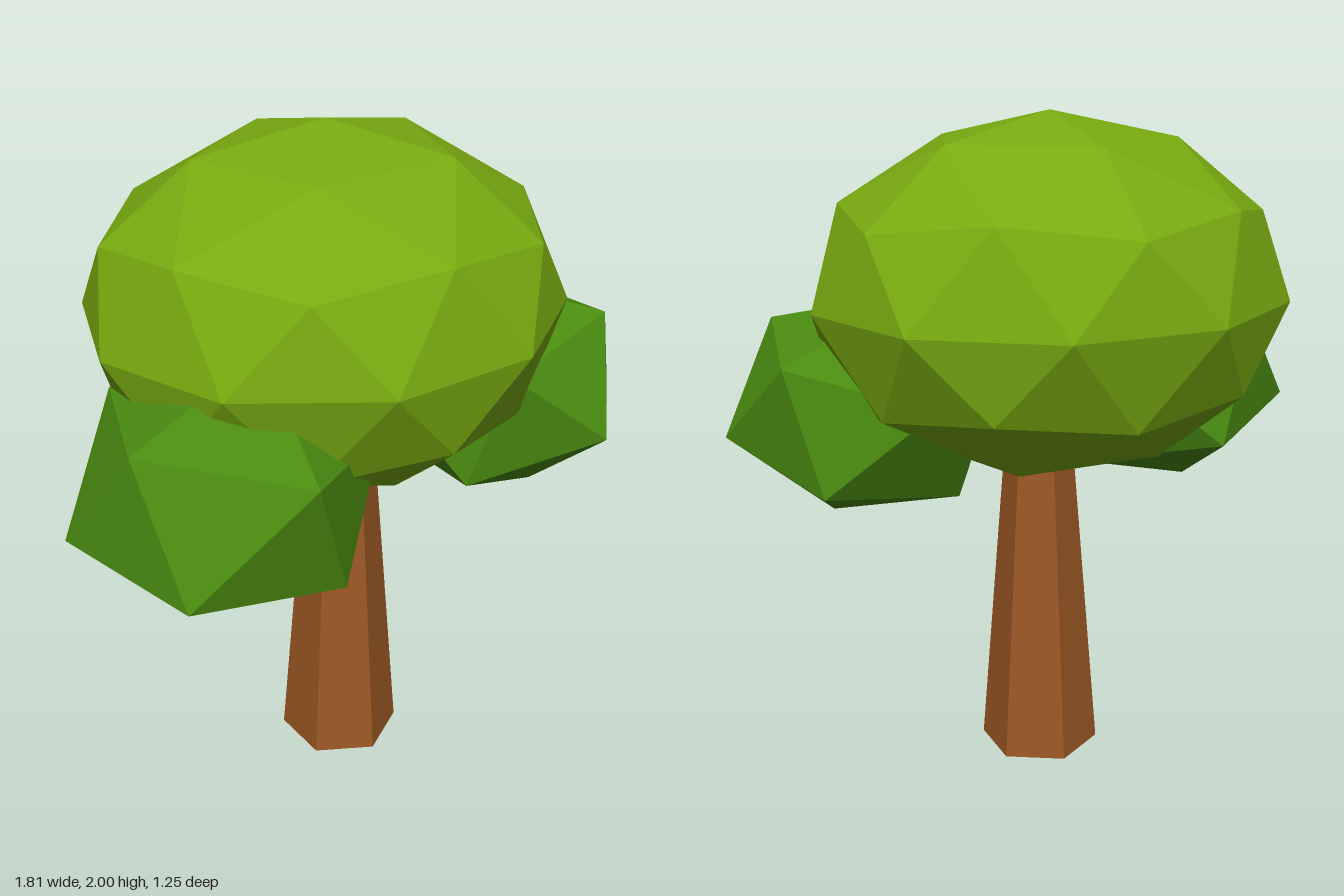
import * as THREE from 'three';
import { ConvexGeometry } from 'three/addons/geometries/ConvexGeometry.js';

function material(name, color, extra = {}) {
  const m = new THREE.MeshStandardMaterial({ color, flatShading: true, ...extra });
  m.name = name;
  return m;
}

// Skewed icosahedron: six corner offsets, mirrored through the centre
function clump(name, center, corners, mat) {
  const points = corners.flatMap((c) => {
    const p = new THREE.Vector3(...c);
    return [p, p.clone().negate()];
  });
  const mesh = new THREE.Mesh(new ConvexGeometry(points), mat);
  mesh.name = name;
  mesh.position.set(...center);
  return mesh;
}

export function createModel() {
  const tree = new THREE.Group();
  tree.name = 'tree';

  const bark = material('bark brown', 0x9c5824, { side: THREE.DoubleSide });
  const lightLeaf = material('light leaf green', 0x78aa10);
  const darkLeaf = material('dark leaf green', 0x4a8c10);

  // Tapered six-sided trunk, open at the ends, reaching into the canopy
  const height = 1.1;
  const trunk = new THREE.Mesh(new THREE.CylinderGeometry(0.097, 0.185, height, 6, 1, true), bark);
  trunk.name = 'trunk';
  trunk.position.set(-0.003, height / 2, 0.073);
  tree.add(trunk);

  // Main canopy: subdivided icosahedron with a corner pointing up, squashed
  const ball = new THREE.IcosahedronGeometry(1, 1);
  ball.rotateX(-Math.atan((1 + Math.sqrt(5)) / 2));
  ball.rotateY(Math.PI - 0.015);
  ball.scale(0.71, 0.522, 0.655);
  const canopy = new THREE.Mesh(ball, lightLeaf);
  canopy.name = 'canopy';
  canopy.position.set(-0.005, 1.478, 0);
  tree.add(canopy);

  // Side clumps
  tree.add(clump('rightClump', [-0.493, 1.143, 0.227], [
    [-0.297, -0.123, 0.293], [-0.327, 0.237, 0.098], [0.033, 0.157, 0.383],
    [0.163, -0.213, 0.318], [-0.117, -0.368, -0.007], [-0.412, -0.088, -0.137],
  ], darkLeaf));
  tree.add(clump('leftClump', [0.511, 1.155, 0.185], [
    [0.394, -0.07, 0.09], [0.289, 0.185, -0.2], [0.209, 0.245, 0.215],
    [0.084, -0.07, 0.385], [0.084, -0.338, 0.085], [0.213, -0.172, -0.285],
  ], darkLeaf));

  return tree;
}
